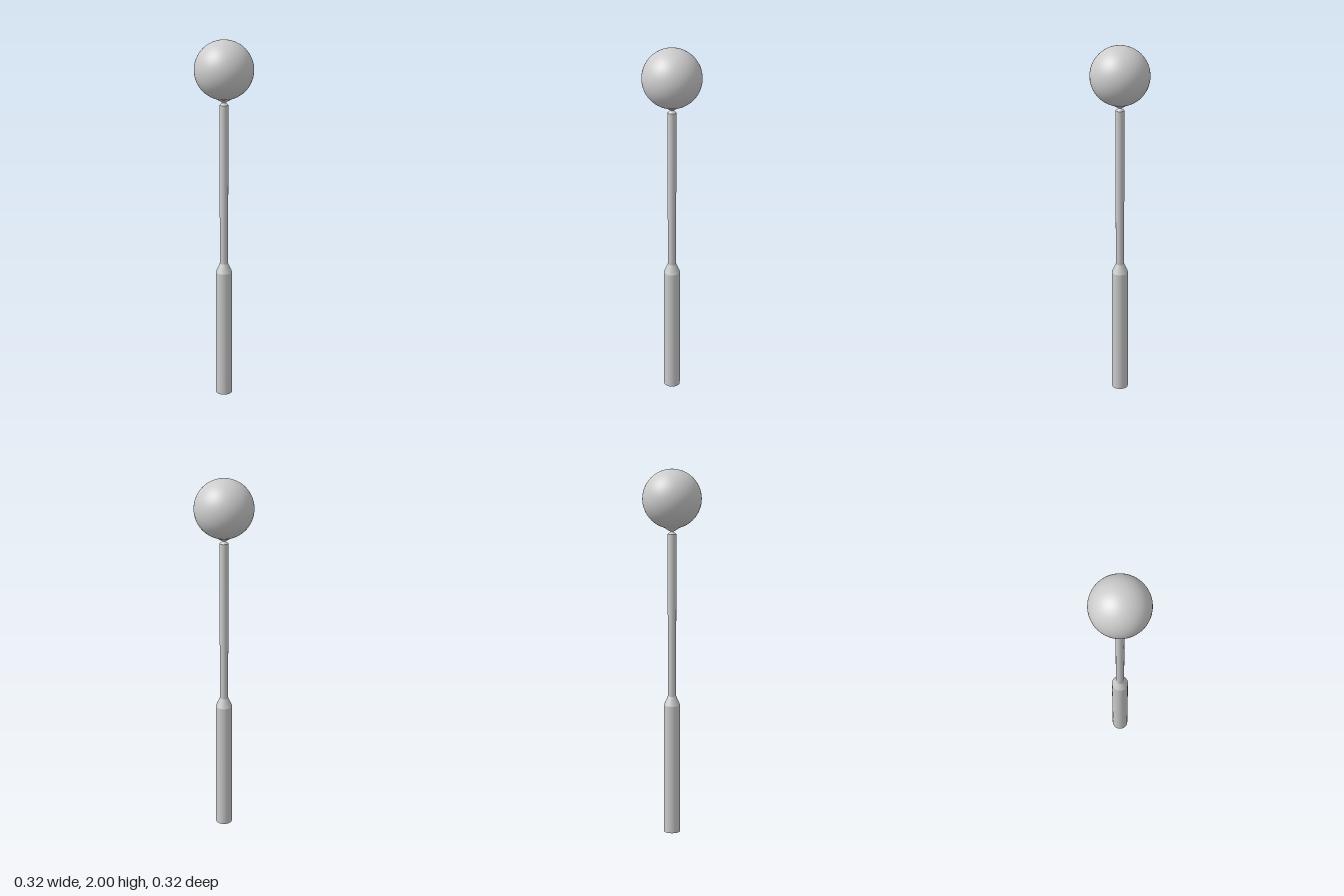
import * as THREE from 'three';

export function createModel() {
  const group = new THREE.Group();
  const material = new THREE.MeshStandardMaterial({ color: 0xcccccc });

  const add = (name, geometry, y) => {
    const mesh = new THREE.Mesh(geometry, material);
    mesh.name = name;
    mesh.position.y = y;
    group.add(mesh);
  };
  // Round section between two heights, open where it joins its neighbours
  const section = (name, bottomRadius, topRadius, y0, y1, open = true) =>
    add(name, new THREE.CylinderGeometry(topRadius, bottomRadius, y1 - y0, 32, 1, open), (y0 + y1) / 2);

  // Post: thick base, shoulder, slim pole and chamfered tip
  section('base', 0.045, 0.045, 0, 0.72, false);
  section('shoulder', 0.045, 0.023, 0.72, 0.77);
  section('pole', 0.023, 0.023, 0.77, 1.655);
  section('poleTip', 0.023, 0.008, 1.655, 1.668);

  // Flared cup that carries the globe
  section('globeHolder', 0.008, 0.047, 1.668, 1.692, false);

  // Lamp globe
  add('globe', new THREE.SphereGeometry(0.158, 48, 32), 1.842);

  return group;
}
